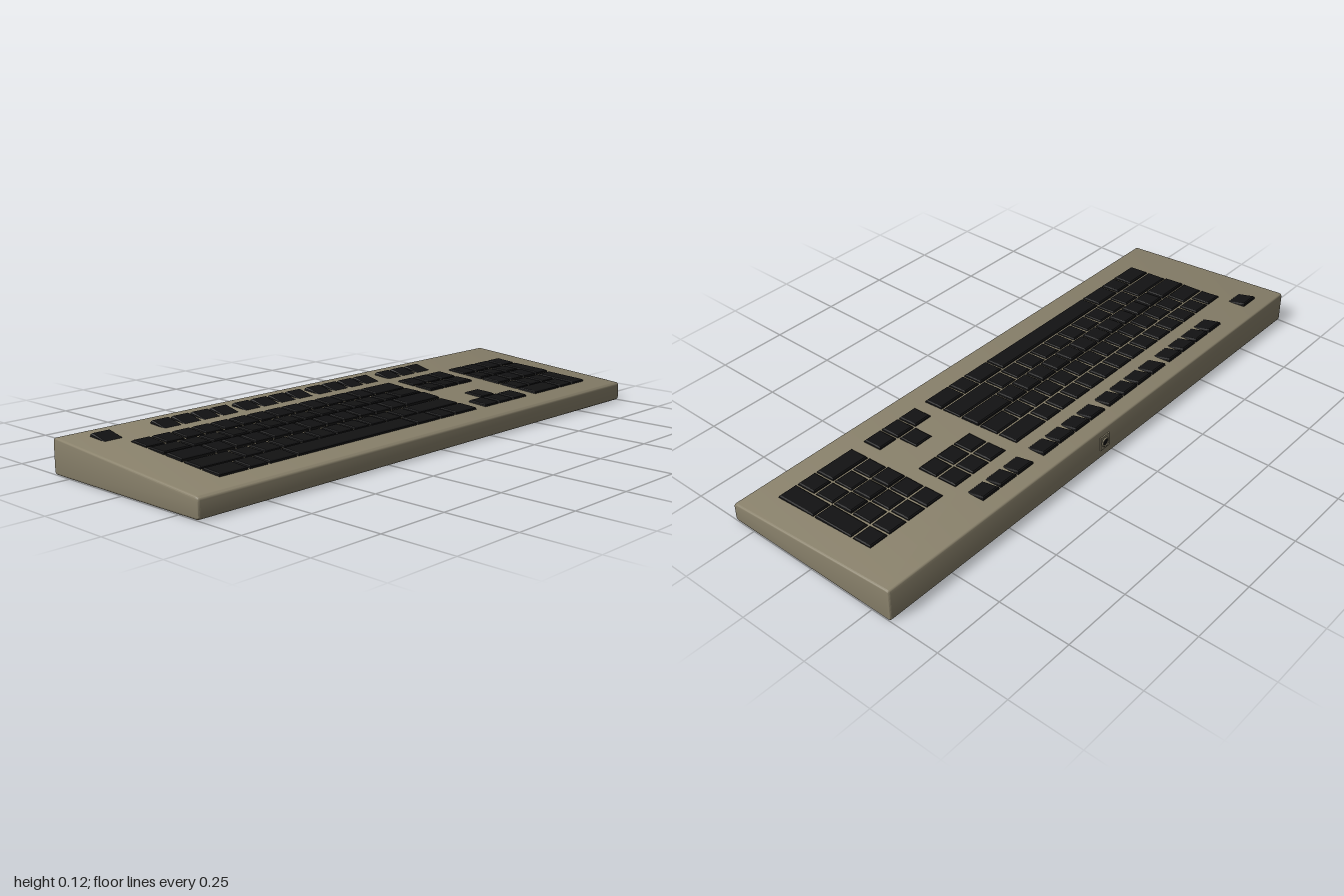
import * as THREE from 'three';
import { toCreasedNormals } from 'three/addons/utils/BufferGeometryUtils.js';

const caseMat = new THREE.MeshStandardMaterial({ color: 0x89816b });
caseMat.name = 'olive beige plastic';
const keyMat = new THREE.MeshStandardMaterial({ color: 0x121213 });
keyMat.name = 'black keycaps';

// Height of the sloping case top at a given x
const deckY = (x) => 0.115 - 0.075 * (x + 0.31);

function mesh(name, geometry, material) {
  const m = new THREE.Mesh(geometry, material);
  m.name = name;
  return m;
}

// Wedge-shaped case: rounded side profile swept along z
function buildCase() {
  const corners = [[-0.325, 0.002], [0.333, 0.002], [0.333, deckY(0.333)], [-0.325, deckY(-0.325)]]
    .map(([x, y]) => new THREE.Vector2(x, y));
  const shape = new THREE.Shape();
  const r = 0.014;
  corners.forEach((c, i) => {
    const prev = corners[(i + 3) % 4], next = corners[(i + 1) % 4];
    const a = prev.clone().sub(c).setLength(r).add(c);
    const b = next.clone().sub(c).setLength(r).add(c);
    if (i === 0) shape.moveTo(a.x, a.y); else shape.lineTo(a.x, a.y);
    shape.quadraticCurveTo(c.x, c.y, b.x, b.y);
  });
  shape.closePath();
  const bevel = 0.006;
  const geo = new THREE.ExtrudeGeometry(shape, {
    depth: 2 - 2 * bevel, bevelEnabled: true, bevelThickness: bevel,
    bevelSize: bevel, bevelOffset: -bevel, bevelSegments: 3, curveSegments: 6,
  });
  geo.translate(0, 0, -1 + bevel);
  return mesh('case', toCreasedNormals(geo, 0.6), caseMat);
}

// Tapered keycap: x0 is its back edge, z0 its left edge (+z), top slopes from yBack to yFront
function keycap(x0, x1, z0, z1, yBack, yFront) {
  const geo = new THREE.BoxGeometry(1, 1, 1, 1, 2, 1);
  const p = geo.attributes.position;
  for (let i = 0; i < p.count; i++) {
    const level = Math.round((p.getY(i) + 0.5) * 2);
    const inset = [0.0015, 0.005, 0.009][level];
    const back = p.getX(i) < 0;
    const x = back ? x0 + inset : x1 - inset;
    const z = p.getZ(i) > 0 ? z0 - inset : z1 + inset;
    const top = back ? yBack : yFront;
    p.setXYZ(i, x, level === 0 ? deckY(x) - 0.01 : top - (level === 1 ? 0.003 : 0), z);
  }
  const flat = geo.toNonIndexed();
  flat.computeVertexNormals();
  return mesh('keycap', flat, keyMat);
}

// Key rows from back to front: back edge, front edge, top height at each
const rows = [
  [-0.268, -0.192, 0.122, 0.108],
  [-0.156, -0.076, 0.109, 0.104],
  [-0.076, 0.004, 0.102, 0.1],
  [0.004, 0.084, 0.1, 0.095],
  [0.084, 0.165, 0.09, 0.087],
  [0.165, 0.246, 0.086, 0.082],
];

// Run of keys from zStart towards -z; widths are in key units
function keyRun(group, row, zStart, unit, widths, rowEnd = row) {
  const [x0, , yBack] = rows[row];
  const [, x1, , yFront] = rows[rowEnd];
  let z = zStart;
  for (const w of widths) {
    group.add(keycap(x0, x1, z, z - w * unit, yBack, yFront));
    z -= w * unit;
  }
}

function keyGroup(name, parent) {
  const g = new THREE.Group();
  g.name = name;
  parent.add(g);
  return g;
}

const ones = (n) => Array(n).fill(1);

export function createModel() {
  const model = new THREE.Group();
  model.name = 'keyboard';
  model.add(buildCase());

  // Escape and function keys
  const functionKeys = keyGroup('functionKeys', model);
  keyRun(functionKeys, 0, 0.915, 0.079, [1]);
  for (const z of [0.693, 0.363, 0.034]) keyRun(functionKeys, 0, z, 0.0782, ones(4));
  keyRun(functionKeys, 0, -0.32, 0.0782, ones(3));

  // Main block
  const mainKeys = keyGroup('mainKeys', model);
  [
    [...ones(13), 2],
    [1.5, ...ones(12), 1.5],
    [1.75, ...ones(11), 2.25],
    [2.25, ...ones(10), 2.75],
    [1.5, 1, 1.5, 7, 1.5, 1, 1.5],
  ].forEach((widths, i) => keyRun(mainKeys, i + 1, 0.852, 0.0753, widths));

  // Navigation and arrow keys
  const navigationKeys = keyGroup('navigationKeys', model);
  for (const row of [1, 2]) keyRun(navigationKeys, row, -0.32, 0.0782, ones(3));
  keyRun(navigationKeys, 4, -0.398, 0.0782, [1]);
  keyRun(navigationKeys, 5, -0.32, 0.0782, ones(3));

  // Number pad with two tall keys and one wide key
  const numberPad = keyGroup('numberPad', model);
  const padZ = -0.6, unit = 0.0763;
  keyRun(numberPad, 1, padZ, unit, ones(4));
  for (const row of [2, 3, 4]) keyRun(numberPad, row, padZ, unit, ones(3));
  keyRun(numberPad, 5, padZ, unit, [2, 1]);
  keyRun(numberPad, 2, padZ - 3 * unit, unit, [1], 3);
  keyRun(numberPad, 4, padZ - 3 * unit, unit, [1], 5);

  // Cable socket on the back
  const socket = keyGroup('cableSocket', model);
  socket.position.set(-0.325, 0.064, -0.05);
  const plate = mesh('socketPlate', new THREE.BoxGeometry(0.008, 0.05, 0.044), caseMat);
  const ring = mesh('socketRing', new THREE.TorusGeometry(0.014, 0.003, 8, 24), caseMat);
  ring.rotation.y = Math.PI / 2;
  ring.position.x = -0.005;
  const hole = mesh('socketHole', new THREE.CylinderGeometry(0.012, 0.012, 0.002, 24), keyMat);
  hole.rotation.z = Math.PI / 2;
  hole.position.x = -0.0045;
  socket.add(plate, ring, hole);

  return model;
}
